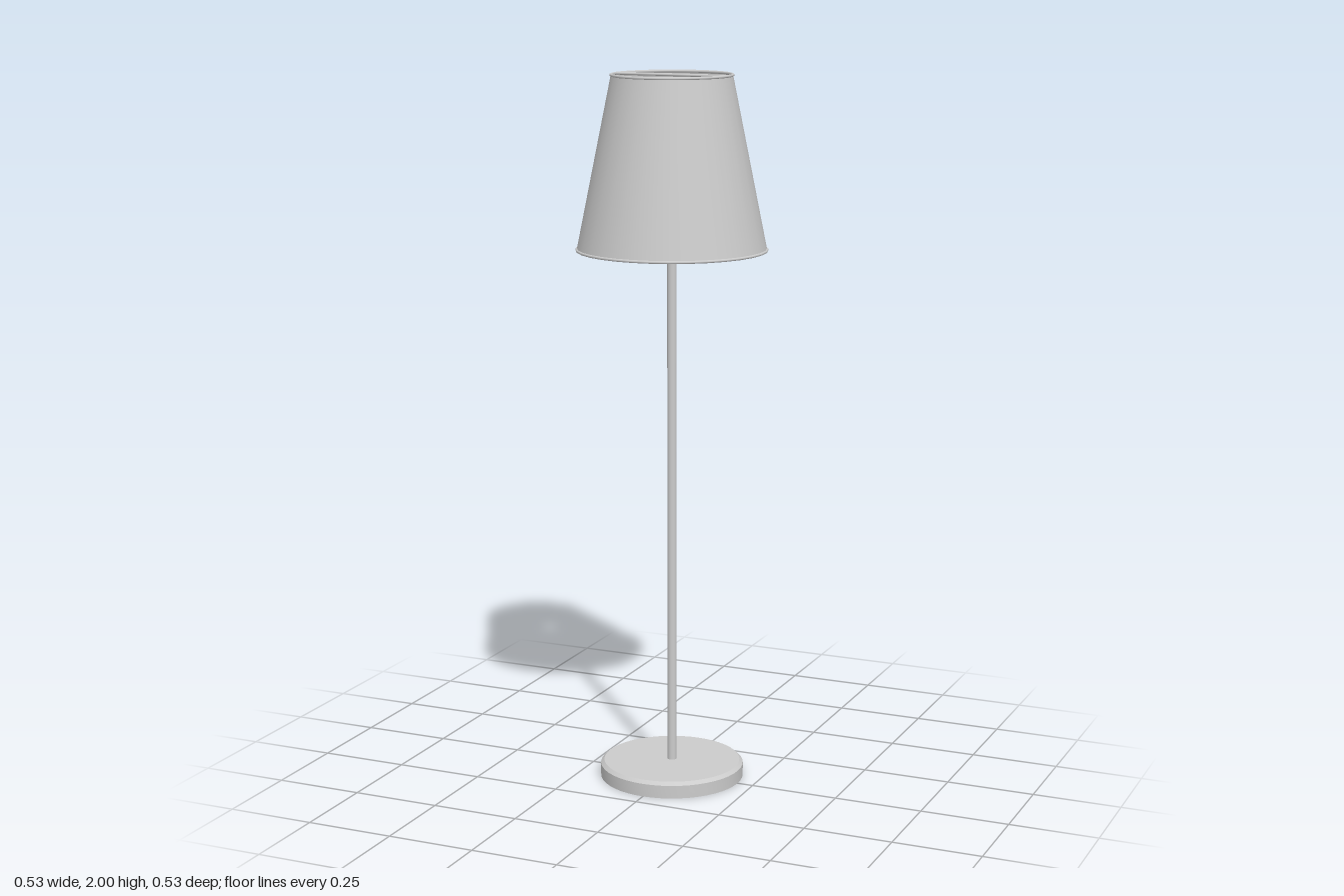
import * as THREE from 'three';
import { toCreasedNormals } from 'three/addons/utils/BufferGeometryUtils.js';

const material = new THREE.MeshStandardMaterial({ color: 0xcccccc });
const thinMaterial = new THREE.MeshStandardMaterial({ color: 0xcccccc, side: THREE.DoubleSide });

export function createModel() {
  const model = new THREE.Group();
  model.name = 'floorLamp';

  const add = (name, geometry, y = 0, mat = material) => {
    const mesh = new THREE.Mesh(geometry, mat);
    mesh.name = name;
    mesh.position.y = y;
    model.add(mesh);
    return mesh;
  };
  // Turned part from [radius, height] pairs, with sharp edges kept
  const turned = (points, sides = 32) => toCreasedNormals(
    new THREE.LatheGeometry(points.map(([r, y]) => new THREE.Vector2(r, y)), sides), 0.5);

  // Hollow base, open underneath, with a bevelled upper edge
  add('base', turned([[0.204, 0], [0.204, 0.037], [0.194, 0.046], [0, 0.046]], 48), 0, thinMaterial);

  // Pole, ending just under the base plate
  add('pole', new THREE.CylinderGeometry(0.013, 0.013, 1.49, 16), 0.04 + 1.49 / 2);

  // Grooved collar that carries the lower cross bar
  add('collar', turned([
    [0, 1.505], [0.043, 1.505], [0.043, 1.513], [0.028, 1.513],
    [0.028, 1.523], [0.043, 1.523], [0.043, 1.531], [0, 1.531],
  ]));

  // Socket with a rounded tip
  add('socket', turned([
    [0.021, 1.53], [0.021, 1.585], [0.017, 1.587], [0.017, 1.6],
    [0.014, 1.609], [0.008, 1.614], [0, 1.616],
  ], 24));

  // Tapered open shade
  const top = { y: 1.996, r: 0.166 };
  const bottom = { y: 1.52, r: 0.262 };
  add('shade', new THREE.CylinderGeometry(top.r, bottom.r, top.y - bottom.y, 32, 1, true),
    (top.y + bottom.y) / 2, thinMaterial);

  // Wire rims, each with a cross bar along x
  for (const [label, { y, r }] of [['upper', top], ['lower', bottom]]) {
    add(label + 'Rim', new THREE.TorusGeometry(r, 0.004, 8, 32).rotateX(Math.PI / 2), y);
    add(label + 'CrossBar',
      new THREE.CylinderGeometry(0.004, 0.004, 2 * r, 8).rotateZ(Math.PI / 2), y);
  }

  return model;
}
